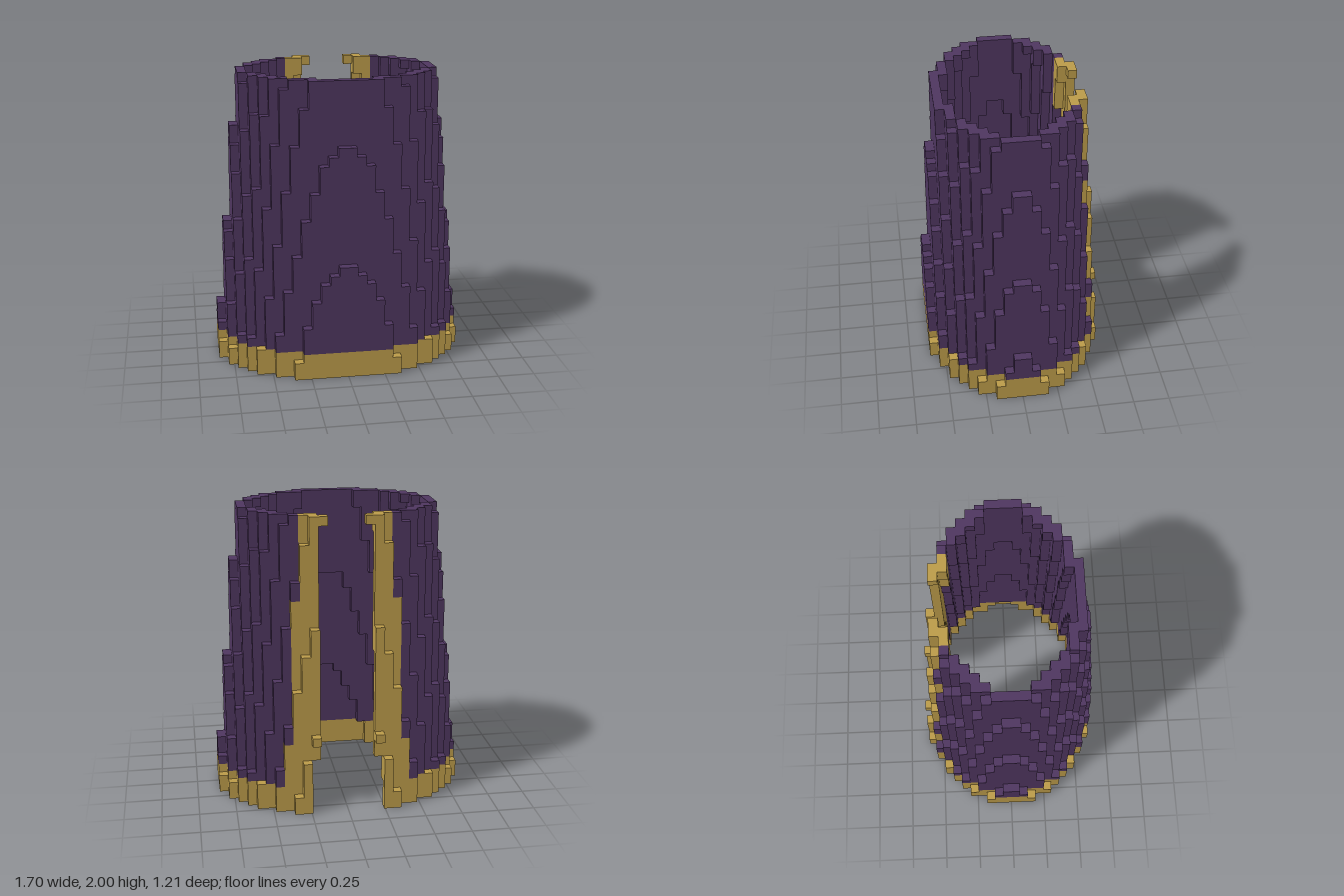
import * as THREE from 'three';

const LAYERS = 33, V = 2 / LAYERS;   // voxel size
const HEM_LAYERS = 3;
const WALL = 1.2;                    // wall thickness in voxels

// Part found at a voxel: tapered elliptical shell, open at the back (-z)
function partAt(x, y, z) {
  if (y < 0 || y >= LAYERS) return null;
  const t = y / (LAYERS - 1);
  const a = 14 - 3 * t, b = 10.5 - 2.5 * t;
  const inside = (rx, rz) => (x / rx) ** 2 + (z / rz) ** 2 <= 1;
  if (!inside(a, b) || inside(a - WALL, b - WALL)) return null;
  // Back opening narrows slightly towards the top
  const angle = THREE.MathUtils.radToDeg(Math.atan2(Math.abs(x), -z));
  const gap = 20.76 - 0.0735 * y;
  if (angle < gap) return null;
  if (y < HEM_LAYERS) return 'hem';
  if (angle < gap + 17.19) return x > 0 ? 'leftOpeningTrim' : 'rightOpeningTrim';
  return 'clothBody';
}

// The six outward face directions
const DIRECTIONS = [
  [1, 0, 0], [-1, 0, 0], [0, 1, 0], [0, -1, 0], [0, 0, 1], [0, 0, -1],
];

// Adds the quad on one side of a voxel
function addFace(data, centre, dir) {
  const axis = dir.findIndex((d) => d !== 0);
  const sign = dir[axis];
  const u = (axis + 1) % 3, w = (axis + 2) % 3;
  const start = data.position.length / 3;
  for (const [s, r] of [[-1, -1], [1, -1], [1, 1], [-1, 1]]) {
    const p = [...centre];
    p[axis] += sign / 2;
    p[u] += (s * sign) / 2;
    p[w] += r / 2;
    data.position.push(p[0] * V, p[1] * V, p[2] * V);
    data.normal.push(...dir);
  }
  data.index.push(start, start + 1, start + 2, start, start + 2, start + 3);
}

export function createModel() {
  const purple = new THREE.MeshStandardMaterial({ color: 0x4f3660 });
  purple.name = 'purple cloth';
  const gold = new THREE.MeshStandardMaterial({ color: 0xbc9c4a });
  gold.name = 'gold trim';
  const materials = {
    clothBody: purple, hem: gold, leftOpeningTrim: gold, rightOpeningTrim: gold,
  };

  const parts = {};
  for (const name in materials) parts[name] = { position: [], normal: [], index: [] };

  // Only the exposed voxel faces are built
  for (let y = 0; y < LAYERS; y++) {
    for (let x = -13.5; x <= 13.5; x++) {
      for (let z = -9.5; z <= 9.5; z++) {
        const name = partAt(x, y, z);
        if (!name) continue;
        for (const dir of DIRECTIONS) {
          if (partAt(x + dir[0], y + dir[1], z + dir[2])) continue;
          addFace(parts[name], [x, y + 0.5, z], dir);
        }
      }
    }
  }

  const group = new THREE.Group();
  group.name = 'cloak';
  for (const name in parts) {
    const { position, normal, index } = parts[name];
    const geometry = new THREE.BufferGeometry();
    geometry.setAttribute('position', new THREE.Float32BufferAttribute(position, 3));
    geometry.setAttribute('normal', new THREE.Float32BufferAttribute(normal, 3));
    geometry.setIndex(index);
    const mesh = new THREE.Mesh(geometry, materials[name]);
    mesh.name = name;
    group.add(mesh);
  }
  return group;
}
